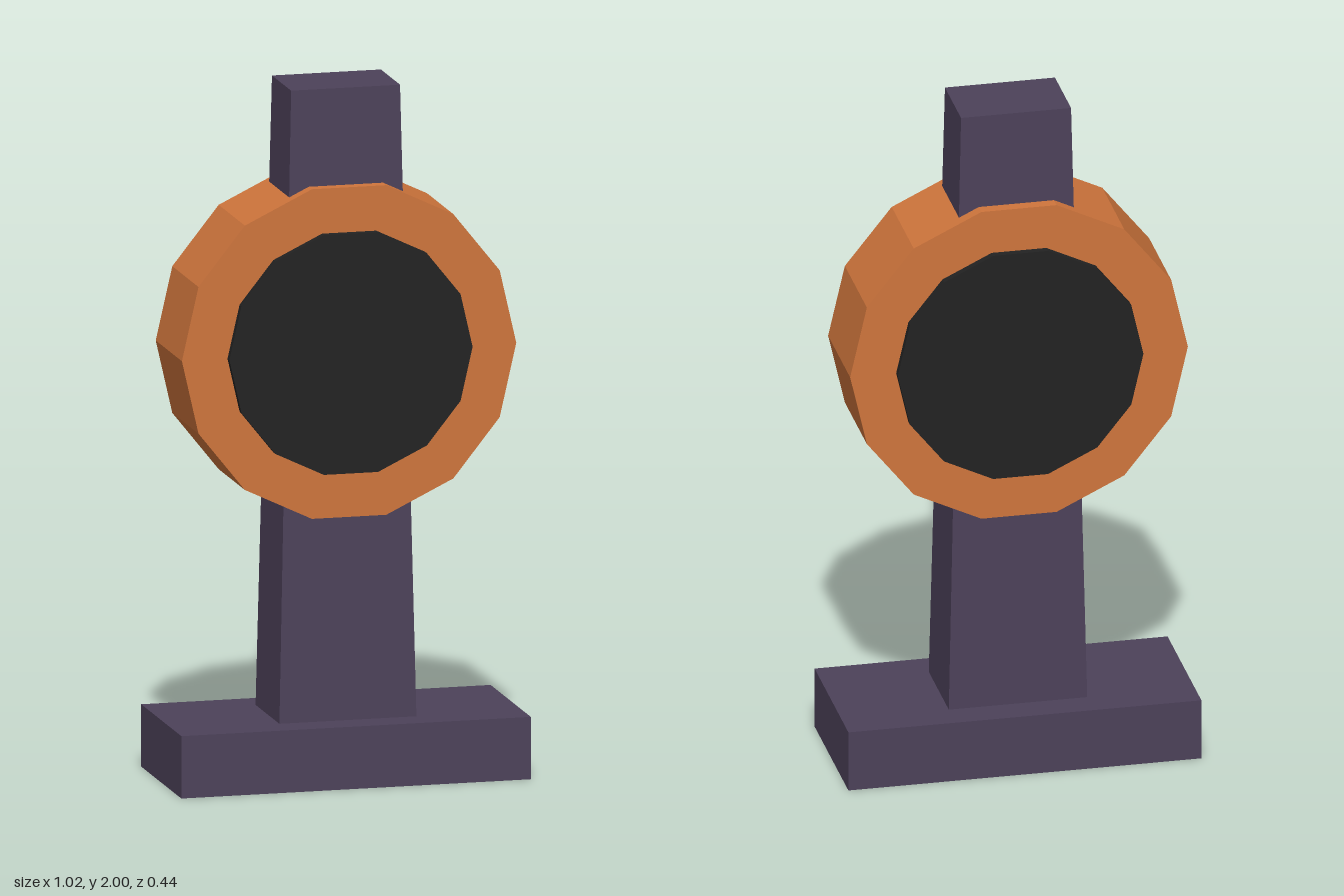
import * as THREE from 'three';

const SIDES = 14, HUB_Y = 1.245;

function material(name, color) {
  const m = new THREE.MeshStandardMaterial({ color });
  m.name = name;
  return m;
}

// Faceted drum lying along z, with a flat facet on top
function drum(radius, depth) {
  const g = new THREE.CylinderGeometry(radius, radius, depth, SIDES, 1, false, Math.PI / SIDES);
  return g.rotateX(Math.PI / 2).toNonIndexed();
}

// Box whose top is narrower than its bottom
function taperedBox(w0, d0, w1, d1, h) {
  const g = new THREE.BoxGeometry(1, h, 1).toNonIndexed();
  const p = g.attributes.position;
  for (let i = 0; i < p.count; i++) {
    const top = p.getY(i) > 0;
    p.setX(i, p.getX(i) * (top ? w1 : w0));
    p.setZ(i, p.getZ(i) * (top ? d1 : d0));
  }
  return g;
}

export function createModel() {
  const model = new THREE.Group();
  model.name = 'roundSignPost';
  const stone = material('dark purple', 0x4c4159);
  const orange = material('orange', 0xcf753c);
  const black = material('black', 0x222222);

  const add = (name, geometry, mat, y, z = 0) => {
    geometry.computeVertexNormals(); // unshared vertices give flat facets
    const mesh = new THREE.Mesh(geometry, mat);
    mesh.name = name;
    mesh.position.set(0, y, z);
    model.add(mesh);
  };

  // Foot and tapering post
  add('base', new THREE.BoxGeometry(1.02, 0.18, 0.445), stone, 0.09);
  add('post', taperedBox(0.4, 0.264, 0.318, 0.212, 1.82), stone, 1.09);

  // Round housing with a dark disc on each face
  add('housing', drum(0.488, 0.29), orange, HUB_Y);
  for (const [name, s] of [['frontDisc', 1], ['backDisc', -1]]) {
    add(name, drum(0.355, 0.04), black, HUB_Y, s * 0.146);
  }
  return model;
}
